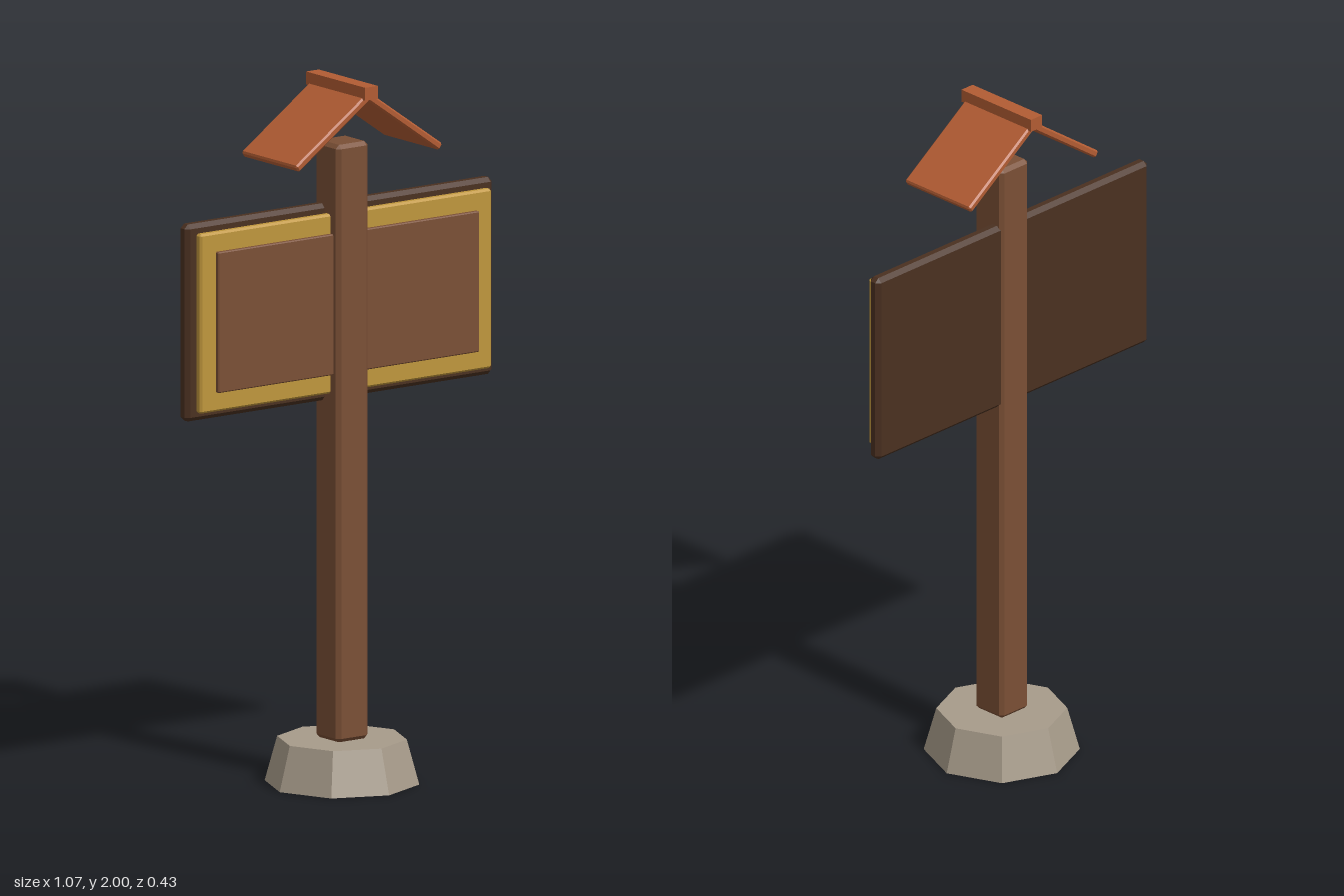
import * as THREE from 'three';
import { ConvexGeometry } from 'three/addons/geometries/ConvexGeometry.js';

const material = (name, color) => {
  const m = new THREE.MeshStandardMaterial({ color, flatShading: true });
  m.name = name;
  return m;
};

// Box with every edge cut by a flat chamfer of width c
function chamferBox(w, h, d, c) {
  const points = [];
  for (const sx of [-1, 1]) for (const sy of [-1, 1]) for (const sz of [-1, 1]) {
    for (let axis = 0; axis < 3; axis++) {
      const inset = [c, c, c];
      inset[axis] = 0;
      points.push(new THREE.Vector3(
        sx * (w / 2 - inset[0]), sy * (h / 2 - inset[1]), sz * (d / 2 - inset[2])));
    }
  }
  return new ConvexGeometry(points);
}

export function createModel() {
  const group = new THREE.Group();
  group.name = 'signpost';

  const wood = material('brown wood', 0x7a4f35);
  const darkWood = material('dark wood', 0x4a3020);
  const gold = material('gold trim', 0xbf963c);
  const roofRed = material('roof terracotta', 0xb25c33);
  const stone = material('stone', 0xa79b8a);

  const add = (name, geometry, mat, x, y, z) => {
    const mesh = new THREE.Mesh(geometry, mat);
    mesh.name = name;
    mesh.position.set(x, y, z);
    group.add(mesh);
    return mesh;
  };
  // Chamfered box given by its bottom and top, back and front
  const slab = (name, mat, w, y0, y1, z0, z1, c) =>
    add(name, chamferBox(w, y1 - y0, z1 - z0, c), mat, 0, (y0 + y1) / 2, (z0 + z1) / 2);

  // Octagonal foot and post
  add('stoneFoot', new THREE.CylinderGeometry(0.182, 0.217, 0.127, 8), stone, 0, 0.0635, 0);
  slab('post', wood, 0.11, 0.127, 1.825, -0.055, 0.055, 0.011);

  // Layered sign board
  slab('backBoard', darkWood, 1.07, 1.09, 1.65, -0.048, -0.007, 0.012);
  slab('goldFrame', gold, 1.016, 1.115, 1.625, -0.005, 0.02, 0.006);
  slab('signPanel', wood, 0.91, 1.17, 1.57, 0.014, 0.033, 0.003);

  // Gabled roof: two sloping slabs and a ridge beam
  const pitch = THREE.MathUtils.degToRad(35);
  const length = 0.306;
  for (const side of [-1, 1]) {
    const panel = add(side > 0 ? 'roofLeft' : 'roofRight',
      chamferBox(length, 0.022, 0.254, 0.005), roofRed,
      side * Math.cos(pitch) * length / 2, 1.97 - Math.sin(pitch) * length / 2, 0);
    panel.rotation.z = -side * pitch;
  }
  add('roofRidge', new THREE.BoxGeometry(0.044, 0.037, 0.272), roofRed, 0, 1.9815, 0);

  return group;
}
